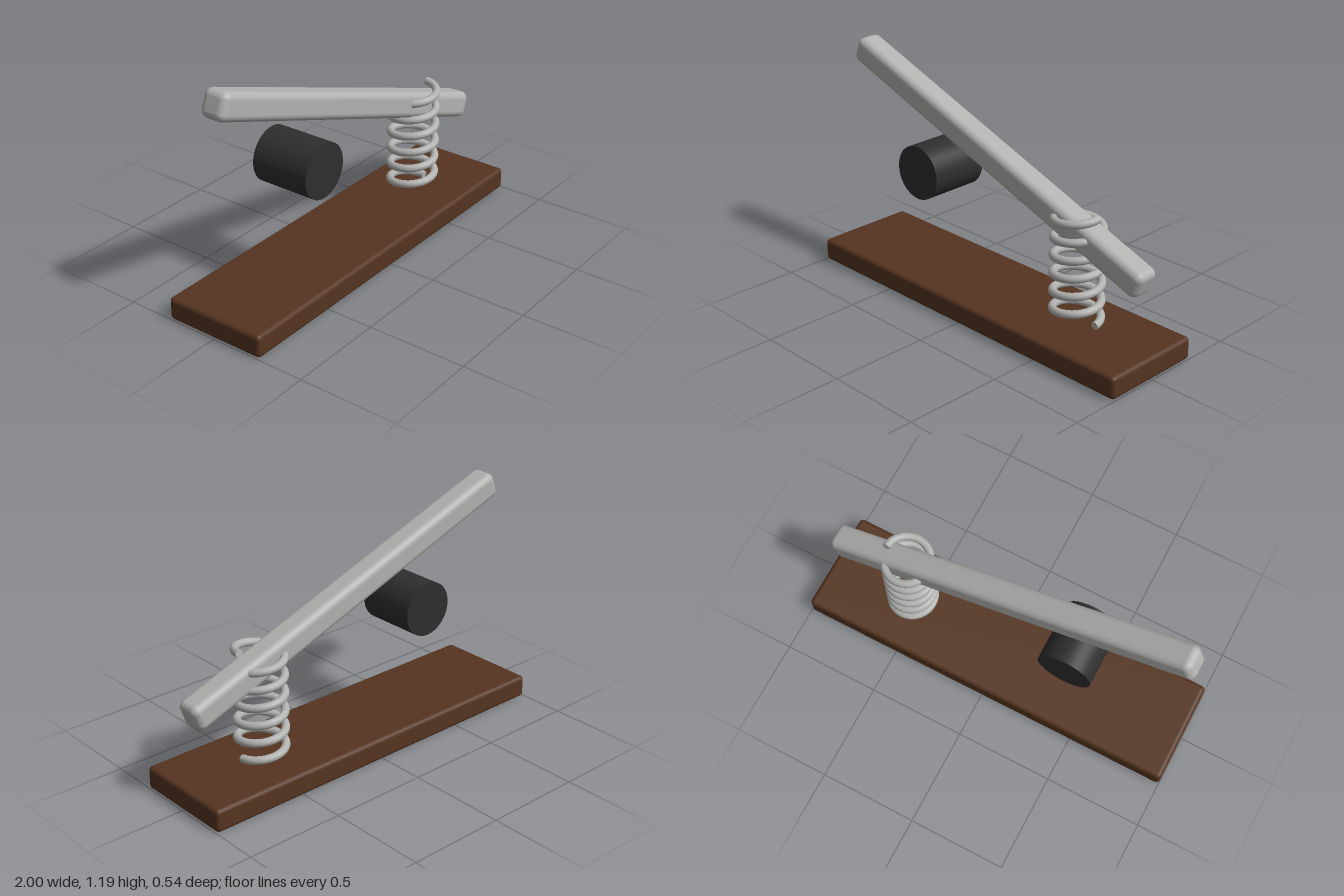
import * as THREE from 'three';
import { RoundedBoxGeometry } from 'three/addons/geometries/RoundedBoxGeometry.js';

const material = (name, color) => {
  const m = new THREE.MeshStandardMaterial({ color });
  m.name = name;
  return m;
};

// Rising coil that starts and ends on the +x side
class Helix extends THREE.Curve {
  constructor(radius, height, turns) {
    super();
    Object.assign(this, { radius, height, turns });
  }
  getPoint(t, target = new THREE.Vector3()) {
    const a = t * this.turns * Math.PI * 2;
    return target.set(this.radius * Math.cos(a), this.height * t, -this.radius * Math.sin(a));
  }
}

export function createModel() {
  const wood = material('dark brown wood', 0x553420);
  const steel = material('light grey steel', 0xb2b2b0);
  const rubber = material('black rubber', 0x2e2e2e);
  const model = new THREE.Group();
  model.name = 'springLever';

  const add = (name, geometry, mat, x, y, z, parent = model) => {
    const mesh = new THREE.Mesh(geometry, mat);
    mesh.name = name;
    mesh.position.set(x, y, z);
    parent.add(mesh);
    return mesh;
  };

  // Base plank
  add('base', new RoundedBoxGeometry(2, 0.116, 0.536, 4, 0.022), wood, 0, 0.058, 0);

  // Tilted lever bar
  const lever = add('lever', new RoundedBoxGeometry(2, 0.135, 0.134, 5, 0.036), steel, 0, 0.79, 0);
  lever.rotation.z = THREE.MathUtils.degToRad(-20);

  // Pivot roller, lying along z
  const roller = add('roller', new THREE.CylinderGeometry(0.137, 0.137, 0.306, 64), rubber, -0.386, 0.638, 0);
  roller.rotation.x = Math.PI / 2;

  // Coil spring with closed wire ends
  const wire = 0.02;
  const spring = new THREE.Group();
  spring.name = 'spring';
  spring.position.set(0.535, 0.137, 0);
  model.add(spring);
  const helix = new Helix(0.114, 0.54, 6);
  add('coil', new THREE.TubeGeometry(helix, 288, wire, 14), steel, 0, 0, 0, spring);
  for (const [t, side] of [[0, -1], [1, 1]]) {
    const p = helix.getPoint(t);
    const cap = add('wireEnd', new THREE.CircleGeometry(wire, 14), steel, p.x, p.y, p.z, spring);
    const outward = helix.getTangent(t).multiplyScalar(side);
    cap.quaternion.setFromUnitVectors(new THREE.Vector3(0, 0, 1), outward);
  }

  return model;
}
